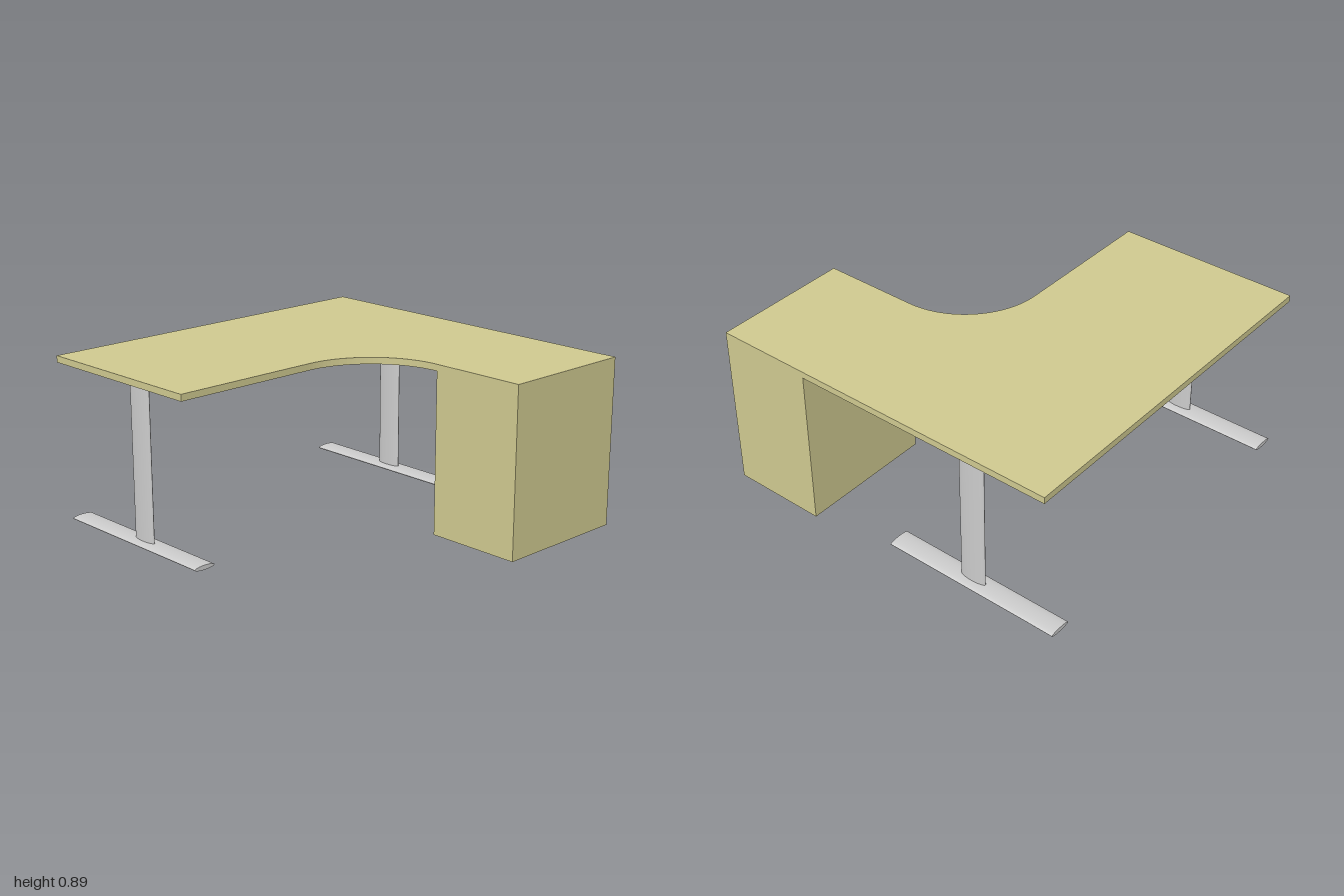
import * as THREE from 'three';

const wood = new THREE.MeshStandardMaterial({ color: 0xcfc990 });
const metal = new THREE.MeshStandardMaterial({ color: 0xcccccc });

const TOP = 0.895, UNDER = 0.86;
const BACK = -0.98, FRONT = 0.98;
const CABINET_BACK = 0.46, INNER_X = 0.25, INNER_Z = 0.015;

function addMesh(parent, name, geometry, material) {
  const mesh = new THREE.Mesh(geometry, material);
  mesh.name = name;
  parent.add(mesh);
  return mesh;
}

// L-shaped slab with a rounded inner corner, drawn in (x, z)
function desktopGeometry() {
  const r = CABINET_BACK - INNER_Z;
  const shape = new THREE.Shape();
  shape.moveTo(-1, BACK);
  shape.lineTo(1, BACK);
  shape.lineTo(1, FRONT);
  shape.lineTo(INNER_X, FRONT);
  shape.lineTo(INNER_X, CABINET_BACK);
  shape.absarc(INNER_X - r, CABINET_BACK, r, 0, -Math.PI / 2, true);
  shape.lineTo(-1, INNER_Z);
  shape.closePath();
  const geometry = new THREE.ExtrudeGeometry(shape, {
    depth: TOP - UNDER, bevelEnabled: false, curveSegments: 16,
  });
  return geometry.rotateX(Math.PI / 2).translate(0, TOP, 0);
}

// T-leg: oval column standing on a long flat oval foot
function createLeg(name, x, columnZ) {
  const leg = new THREE.Group();
  leg.name = name;
  leg.position.x = x;

  const footHeight = 0.024, footLength = 1.0;
  const foot = new THREE.CylinderGeometry(1, 1, footLength, 32)
    .rotateX(Math.PI / 2)
    .scale(0.061, footHeight / 2, 1)
    .translate(0, footHeight / 2, -0.48);
  addMesh(leg, 'foot', foot, metal);

  const base = footHeight / 2;
  const column = new THREE.CylinderGeometry(1, 1, UNDER - base, 32)
    .scale(0.0175, 1, 0.0735)
    .translate(0, (UNDER + base) / 2, columnZ);
  addMesh(leg, 'column', column, metal);
  return leg;
}

export function createModel() {
  const desk = new THREE.Group();
  desk.name = 'cornerDesk';

  addMesh(desk, 'desktop', desktopGeometry(), wood);

  // Cabinet carrying the short wing, flush with the desktop edges
  const width = 1 - INNER_X, depth = FRONT - CABINET_BACK;
  const cabinet = addMesh(desk, 'cabinet', new THREE.BoxGeometry(width, UNDER, depth), wood);
  cabinet.position.set(INNER_X + width / 2, UNDER / 2, CABINET_BACK + depth / 2);

  desk.add(createLeg('rightLeg', -0.89, -0.446));
  desk.add(createLeg('leftLeg', 0.866, -0.46));
  return desk;
}
